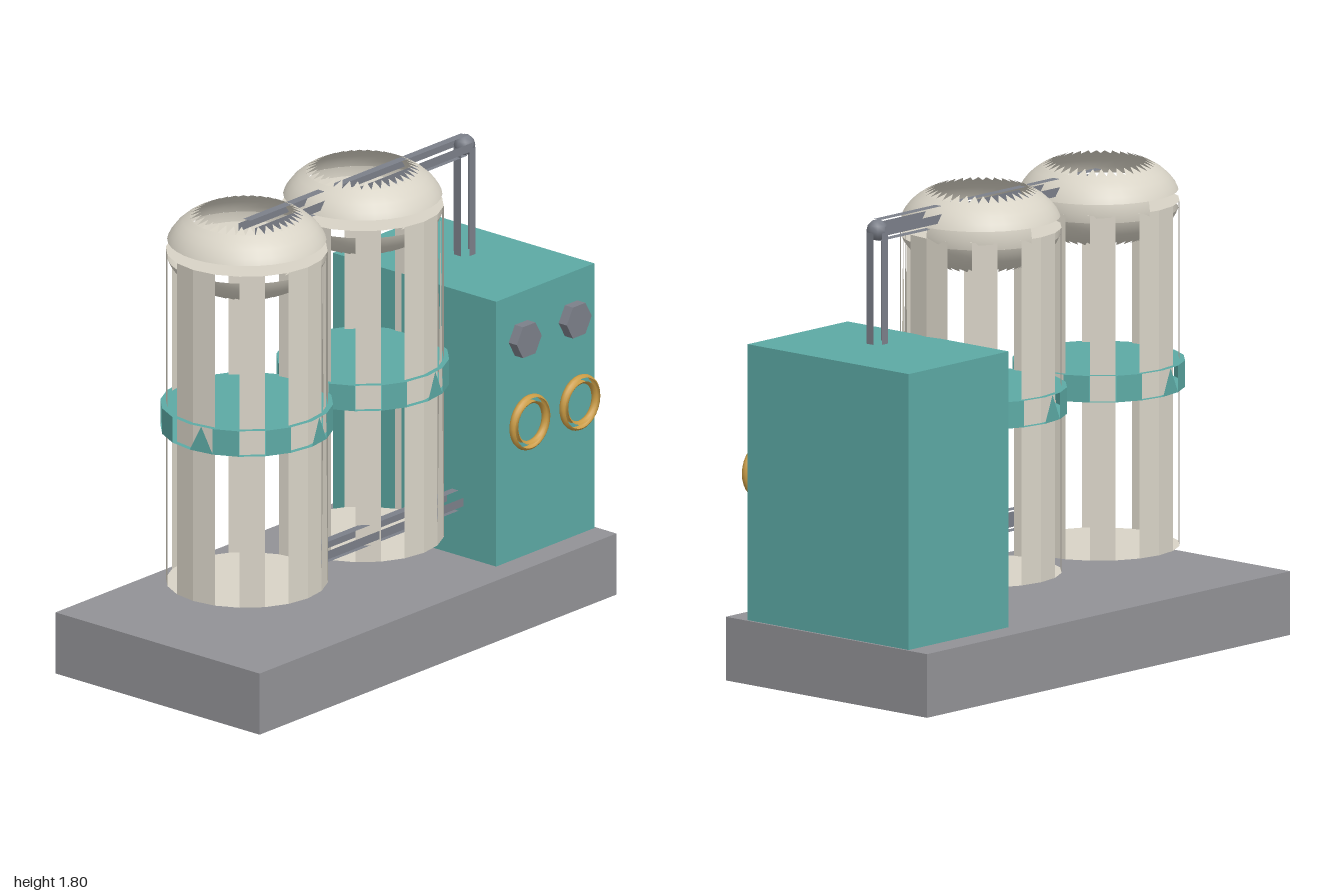
import * as THREE from 'three';

const mat = (name, color) => {
  const m = new THREE.MeshStandardMaterial({ color, side: THREE.DoubleSide });
  m.name = name;
  return m;
};

// Chosen facets of an upright prism; tapered ones end in a point at the top
function facets(r, y0, y1, sides, full, tapered = [], offset = 0) {
  const pos = [];
  const step = (Math.PI * 2) / sides;
  const at = (k, y) => {
    const a = k * step + offset;
    return [r * Math.sin(a), y, r * Math.cos(a)];
  };
  for (const k of full) {
    const a = at(k, y0), b = at(k + 1, y0), c = at(k + 1, y1), d = at(k, y1);
    pos.push(...a, ...b, ...c, ...a, ...c, ...d);
  }
  for (const k of tapered) {
    const a = at(k, y1), b = at(k + 1, y1);
    const tip = a.map((v, i) => (v + b[i]) / 2);
    pos.push(...at(k, y0), ...at(k + 1, y0), ...tip);
  }
  const g = new THREE.BufferGeometry();
  g.setAttribute('position', new THREE.Float32BufferAttribute(pos, 3));
  g.computeVertexNormals();
  return g;
}

// Inward teeth along the cut edge of a dome
function teeth(rOuter, yOuter, rInner, yInner, count) {
  const pos = [];
  const step = (Math.PI * 2) / count;
  const put = (r, y, a) => pos.push(r * Math.sin(a), y, r * Math.cos(a));
  for (let i = 0; i < count; i++) {
    put(rOuter, yOuter, i * step);
    put(rOuter, yOuter, (i + 1) * step);
    put(rInner, yInner, (i + 0.5) * step);
  }
  const g = new THREE.BufferGeometry();
  g.setAttribute('position', new THREE.Float32BufferAttribute(pos, 3));
  g.computeVertexNormals();
  return g;
}

export function createModel() {
  const cream = mat('cream', 0xd8d3c6);
  const teal = mat('teal', 0x5ca9a4);
  const grey = mat('base grey', 0x929296);
  const steel = mat('steel', 0x7b7f89);
  const gold = mat('gold', 0xc99b45);

  const model = new THREE.Group();
  const add = (parent, name, geometry, material, x = 0, y = 0, z = 0) => {
    const m = new THREE.Mesh(geometry, material);
    m.name = name;
    m.position.set(x, y, z);
    parent.add(m);
    return m;
  };

  // Plinth and control cabinet
  add(model, 'base', new THREE.BoxGeometry(2, 0.24, 1), grey, 0, 0.12, 0);
  add(model, 'cabinet', new THREE.BoxGeometry(0.55, 1.04, 0.8), teal, 0.715, 0.76, 0);

  // Tanks
  const SIDES = 20;
  const disc = (r) => new THREE.CircleGeometry(r, SIDES).rotateX(-Math.PI / 2);
  const wall = facets(0.3, 0.35, 1.65, SIDES,
    [0, 2, 4, 5, 7, 9, 10, 12, 14, 15, 17, 19], [1, 3]);
  const band = facets(0.32, 0.95, 1.05, SIDES, [1, 3, 6, 8, 11, 13, 16, 18], [0, 5, 10, 15]);

  // Squashed sphere: height above its middle at a given radius
  const H = 0.175, R = 0.3, MID = 1.655;
  const rise = (r) => H * Math.sqrt(1 - (r / R) ** 2);
  const profile = [0.294, 0.283, 0.262, 0.237, 0.21]
    .map((r) => new THREE.Vector2(r, rise(r)));
  const shell = new THREE.LatheGeometry(profile, 36);
  const rim = teeth(0.21, rise(0.21), 0.17, rise(0.17), 36);
  const strip = new THREE.LatheGeometry(
    [-1, 0, 1].map((s) => new THREE.Vector2(s ? 0.294 : R, s * rise(0.294))),
    8, Math.PI / 2, Math.PI * 0.45);

  for (const x of [-0.5, 0.15]) {
    const tank = new THREE.Group();
    tank.name = 'tank';
    tank.position.x = x;
    model.add(tank);
    add(tank, 'tankWall', wall, cream);
    add(tank, 'tankFloor', disc(0.3), cream, 0, 0.35);
    add(tank, 'tankLid', disc(0.3), cream, 0, 1.65);
    add(tank, 'band', band, teal);
    add(tank, 'bandTop', disc(0.32), teal, 0, 1.05);
    add(tank, 'bandBottom', disc(0.32), teal, 0, 0.95);
    // Upper shell and its mirror below
    for (const flip of [0, Math.PI]) {
      add(tank, 'dome', shell, cream, 0, MID).rotation.x = flip;
      add(tank, 'domeTeeth', rim, cream, 0, MID).rotation.x = flip;
    }
    add(tank, 'domeStrip', strip, cream, 0, MID);
  }

  // Pipes made of four slats
  const pipe = (name, length) => {
    const g = facets(0.043, -length / 2, length / 2, 8, [0, 2, 4, 6], [], -Math.PI / 8);
    return add(model, name, g, steel);
  };
  const top = pipe('topPipe', 1.22);
  top.rotation.z = Math.PI / 2;
  top.position.set(0.11, 1.725, 0);
  pipe('downPipe', 0.42).position.set(0.72, 1.51, 0);
  const low = pipe('lowerPipe', 0.77);
  low.rotation.z = Math.PI / 2;
  low.position.set(0.06, 0.455, 0.2);
  add(model, 'elbow', new THREE.SphereGeometry(0.04, 8, 6), steel, 0.72, 1.725, 0);

  // Handwheels (split rings) and knobs on the cabinet front
  const arc = (from, to) => {
    const pts = [];
    for (let i = 0; i <= 4; i++) {
      const a = THREE.MathUtils.degToRad(from + ((to - from) * i) / 4);
      pts.push(new THREE.Vector2(0.09 + 0.018 * Math.cos(a), 0.016 * Math.sin(a)));
    }
    return new THREE.LatheGeometry(pts, 28).rotateX(Math.PI / 2);
  };
  const knob = new THREE.CylinderGeometry(0.07, 0.07, 0.04, 6)
    .rotateY(Math.PI / 6).rotateX(Math.PI / 2).toNonIndexed();
  knob.computeVertexNormals();
  for (const x of [0.58, 0.86]) {
    add(model, 'wheelOuter', arc(-65, 65), gold, x, 0.78, 0.443);
    add(model, 'wheelInner', arc(115, 245), gold, x, 0.78, 0.443);
    add(model, 'knob', knob, steel, x, 1.1, 0.42);
  }
  return model;
}
